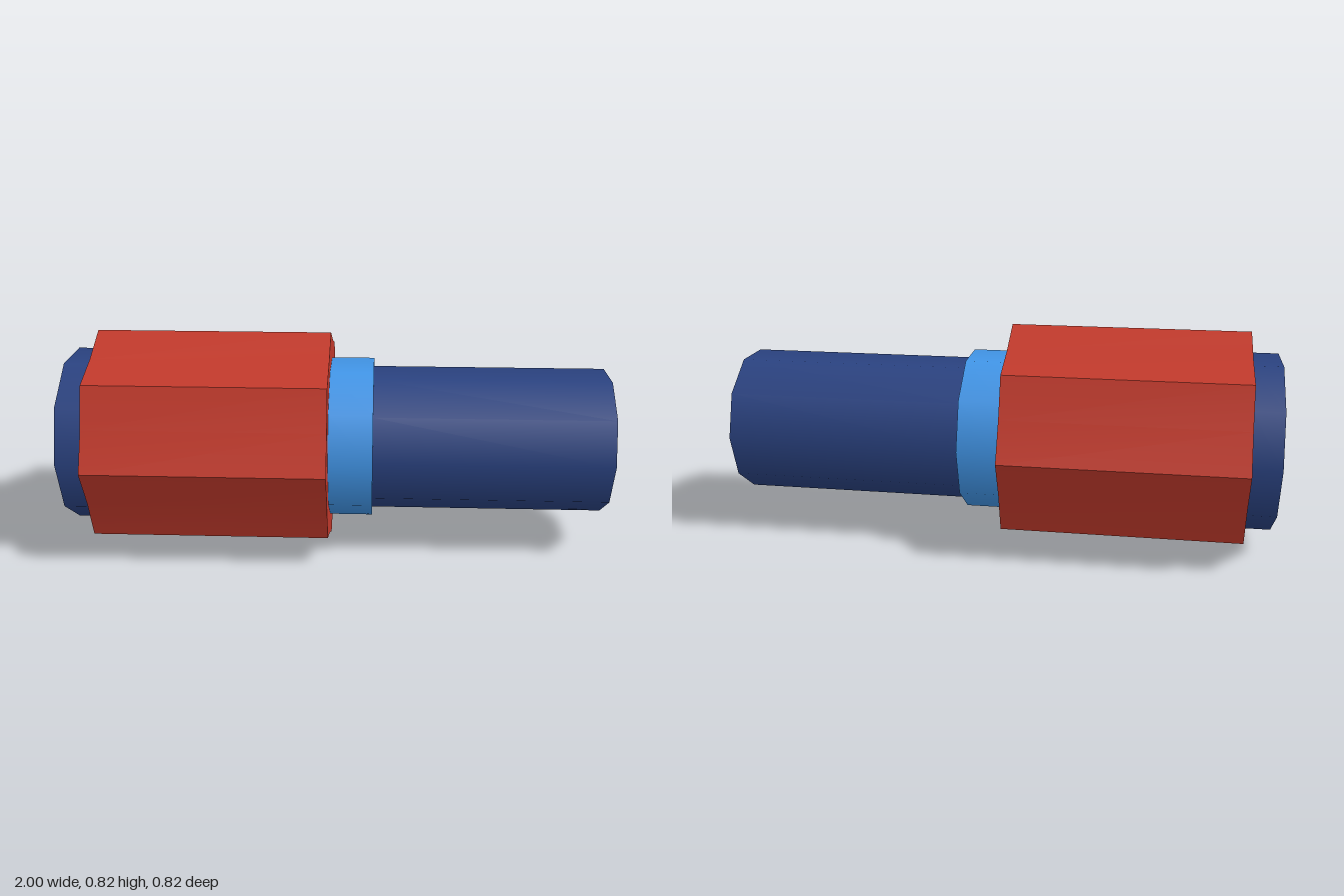
import * as THREE from 'three';
import { toCreasedNormals } from 'three/addons/utils/BufferGeometryUtils.js';

const AXIS_Y = 0.409;

export function createModel() {
  const model = new THREE.Group();
  model.name = 'handleAssembly';

  const makeMaterial = (name, color) => {
    const material = new THREE.MeshStandardMaterial({ color });
    material.name = name;
    return material;
  };
  const red = makeMaterial('gripRed', 0xc0392b);
  const navy = makeMaterial('shaftNavy', 0x2a4280);
  const blue = makeMaterial('collarBlue', 0x4297ea);

  const addPart = (name, geometry, material, x) => {
    const mesh = new THREE.Mesh(geometry, material);
    mesh.name = name;
    mesh.position.set(x, AXIS_Y, 0);
    model.add(mesh);
  };

  // Ten-sided smooth cylinder lying along x
  const addRod = (name, radius, x0, x1, material) => {
    const geometry = new THREE.CylinderGeometry(radius, radius, x1 - x0, 10);
    geometry.rotateZ(-Math.PI / 2);
    addPart(name, geometry, material, (x0 + x1) / 2);
  };
  addRod('endCap', 0.325, -1, -0.89, navy);
  addRod('collar', 0.3, -0.025, 0.135, blue);
  addRod('shaft', 0.269, 0.135, 1, navy);

  // Eight-ridged grip with shallow hollows between the ridges
  const outline = [];
  for (let i = 0; i < 16; i++) {
    const angle = (i * Math.PI) / 8;
    const radius = i % 2 ? 0.368 : 0.409;
    outline.push(new THREE.Vector2(Math.cos(angle) * radius, Math.sin(angle) * radius));
  }
  const grip = new THREE.ExtrudeGeometry(new THREE.Shape(outline), { depth: 0.865, bevelEnabled: false });
  grip.rotateY(Math.PI / 2);
  addPart('grip', toCreasedNormals(grip, Math.PI / 9), red, -0.89);

  return model;
}
